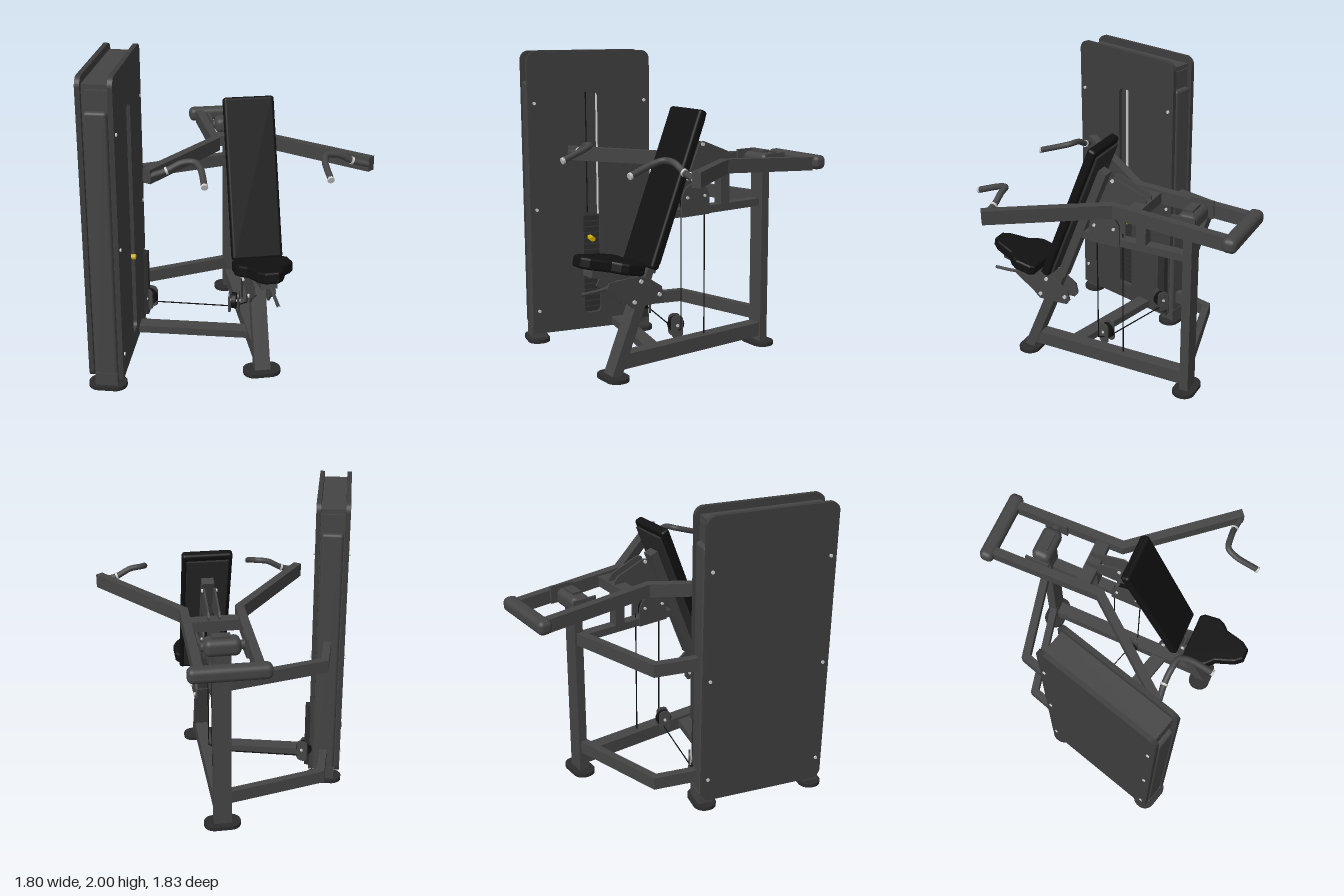
import * as THREE from 'three';
import { RoundedBoxGeometry } from 'three/addons/geometries/RoundedBoxGeometry.js';

const mat = (color) => new THREE.MeshStandardMaterial({ color, roughness: 0.7 });
const steel = mat(0x444444), panelMat = mat(0x3c3c3c), dark = mat(0x2c2c2c);
const black = mat(0x111111), silver = mat(0xcccccc), yellow = mat(0xccaa00);
const MID = 0.185; // centre line of the seat and frame

const V = (x, y, z) => new THREE.Vector3(x, y, z);

function add(parent, name, geo, material, x = 0, y = 0, z = 0) {
  const m = new THREE.Mesh(geo, material);
  m.name = name;
  m.position.set(x, y, z);
  parent.add(m);
  return m;
}
const box = (p, name, w, h, d, x, y, z, m = steel) => add(p, name, new THREE.BoxGeometry(w, h, d), m, x, y, z);
const rbox = (p, name, w, h, d, r, x, y, z, m = steel) => add(p, name, new RoundedBoxGeometry(w, h, d, 4, r), m, x, y, z);

// Cylinder lying along x
function rod(p, name, r, len, x, y, z, m = steel) {
  const c = add(p, name, new THREE.CylinderGeometry(r, r, len, 20), m, x, y, z);
  c.rotation.z = Math.PI / 2;
  return c;
}

// Straight square tube between two points
function beam(p, name, a, b, w, h, m = steel) {
  const o = box(p, name, w, h, a.distanceTo(b), 0, 0, 0, m);
  o.position.copy(a).lerp(b, 0.5);
  o.lookAt(b);
  return o;
}

// Mitred rectangular tube along a roughly level path
function rail(p, name, pts, w, h, m = steel) {
  const pos = [], idx = [], n = pts.length;
  const side = (i) => {
    const d = pts[i + 1].clone().sub(pts[i]).setY(0).normalize();
    return V(-d.z, 0, d.x);
  };
  pts.forEach((q, i) => {
    const s0 = side(Math.max(0, i - 1)), s1 = side(Math.min(n - 2, i));
    const s = s0.clone().add(s1).normalize();
    s.multiplyScalar(w / 2 / s.dot(s1));
    for (const [a, b] of [[1, -1], [1, 1], [-1, 1], [-1, -1]])
      pos.push(q.x + s.x * a, q.y + b * h / 2, q.z + s.z * a);
    if (i < n - 1) for (let k = 0; k < 4; k++) {
      const a = i * 4 + k, b = i * 4 + (k + 1) % 4;
      idx.push(a, b, a + 4, b, b + 4, a + 4);
    }
  });
  const e = (n - 1) * 4;
  idx.push(0, 2, 1, 0, 3, 2, e, e + 1, e + 2, e, e + 2, e + 3);
  let g = new THREE.BufferGeometry();
  g.setAttribute('position', new THREE.Float32BufferAttribute(pos, 3));
  g.setIndex(idx);
  g = g.toNonIndexed();
  g.computeVertexNormals();
  const o = add(p, name, g, m);
  o.material = m.clone();
  o.material.side = THREE.DoubleSide;
  return o;
}

function roundRect(w, h, r, cx = 0, cy = 0, S = THREE.Shape) {
  const s = new S(), x = w / 2 - r, y = h / 2 - r;
  s.absarc(cx + x, cy + y, r, 0, Math.PI / 2);
  s.absarc(cx - x, cy + y, r, Math.PI / 2, Math.PI);
  s.absarc(cx - x, cy - y, r, Math.PI, Math.PI * 1.5);
  s.absarc(cx + x, cy - y, r, Math.PI * 1.5, Math.PI * 2);
  s.closePath();
  return s;
}
const outline = (pts) => new THREE.Shape(pts.map(([a, b]) => new THREE.Vector2(a, b)));

// Plate drawn in (z, y), with thickness along x
function sidePlate(p, name, shape, t, x, m = steel) {
  const g = new THREE.ExtrudeGeometry(shape, { depth: t, bevelEnabled: false, curveSegments: 10 });
  g.rotateY(-Math.PI / 2).translate(t / 2, 0, 0);
  return add(p, name, g, m, x);
}

// Oval floor plate
function foot(p, x, z) {
  const g = new THREE.ExtrudeGeometry(roundRect(0.24, 0.15, 0.07), { depth: 0.025, bevelEnabled: false });
  add(p, 'foot', g.rotateX(-Math.PI / 2), dark, x, 0, z);
}

function pulley(p, x, y, z, turn) {
  const g = new THREE.Group();
  g.name = 'pulley';
  g.position.set(x, y, z);
  g.rotation.y = turn;
  rod(g, 'wheel', 0.055, 0.03, 0, 0.01, 0, black);
  for (const s of [-1, 1]) sidePlate(g, 'pulleyCheek', roundRect(0.08, 0.15, 0.03), 0.012, s * 0.03);
  rod(g, 'axle', 0.01, 0.085, 0, 0.01, 0, silver);
  p.add(g);
}

function cabinet() {
  const c = new THREE.Group();
  c.name = 'weightCabinet';
  c.position.set(-0.695, 0, 0.29);
  c.rotation.y = -Math.PI / 12;
  // side panels, the inner one slotted and notched at its lower rear
  const outer = roundRect(0.85, 1.93, 0.06, 0, 1.035);
  const inner = outline([[-0.39, 0.07], [0.425, 0.07]]);
  inner.absarc(0.365, 1.94, 0.06, 0, Math.PI / 2);
  inner.absarc(-0.365, 1.94, 0.06, Math.PI / 2, Math.PI);
  inner.lineTo(-0.425, 0.58);
  inner.lineTo(-0.39, 0.58);
  inner.holes.push(roundRect(0.12, 1.55, 0.04, 0, 0.955, THREE.Path));
  sidePlate(c, 'outerPanel', outer, 0.03, -0.0925, panelMat);
  sidePlate(c, 'innerPanel', inner, 0.03, 0.0925, panelMat);
  for (const s of [-1, 1]) {
    box(c, 'endColumn', 0.155, 1.84, 0.03, 0, 1.0, s * 0.38);
    rbox(c, 'endCover', 0.14, 1.72, 0.05, 0.02, 0, 0.94, s * 0.4);
    box(c, 'cabinetLeg', 0.14, 0.1, 0.1, 0, 0.06, s * 0.38);
    foot(c, 0, s * 0.38);
    for (const y of [0.23, 0.94, 1.66]) for (const f of [-1, 1])
      rod(c, 'panelBolt', 0.011, 0.012, f * 0.11, y, s * 0.385, silver);
  }
  box(c, 'topCover', 0.155, 0.03, 0.79, 0, 1.94, 0);
  box(c, 'cabinetBase', 0.12, 0.08, 0.76, 0, 0.11, 0);
  box(c, 'rearShroud', 0.035, 0.46, 0.06, 0.12, 0.34, -0.37, dark);
  // weight stack on two guide rods
  for (let i = 0; i < 17; i++) box(c, 'weightPlate', 0.1, 0.034, 0.22, 0, 0.19 + i * 0.041, 0, dark);
  for (const s of [-1, 1])
    add(c, 'guideRod', new THREE.CylinderGeometry(0.01, 0.01, 1.78, 12), silver, 0, 1.04, s * 0.08);
  add(c, 'stackCable', new THREE.CylinderGeometry(0.004, 0.004, 1.05, 8), black, 0, 1.4, 0);
  rod(c, 'selectorPin', 0.018, 0.08, 0.085, 0.71, 0, yellow);
  return c;
}

function frame(g) {
  foot(g, MID, 0.66);
  foot(g, MID, -0.535);
  box(g, 'rearPost', 0.115, 1.33, 0.06, MID, 0.685, -0.537);
  box(g, 'baseBeam', 0.09, 0.095, 1.14, MID, 0.108, 0.06);
  beam(g, 'seatPost', V(MID, 0.02, 0.665), V(MID, 0.52, 0.455), 0.1, 0.07);
  beam(g, 'seatPostInner', V(MID, 0.45, 0.48), V(MID, 0.66, 0.395), 0.07, 0.05);
  box(g, 'midBeam', 0.07, 0.05, 0.74, MID, 1.0, -0.13);
  // ties to the cabinet
  rail(g, 'frontTie', [V(-0.59, 0.11, 0.13), V(MID, 0.11, 0.335)], 0.1, 0.05);
  for (const y of [0.21, 1.022])
    rail(g, 'rearTie', [V(0.14, y, -0.53), V(-0.5, y, -0.38), V(-0.58, y, -0.11)], 0.05, 0.085);
  // support behind the backrest
  box(g, 'backStrut', 0.07, 0.3, 0.07, MID, 1.14, -0.205);
  const bracket = outline([[0.09, 1.26], [0.01, 1.44], [-0.02, 1.45], [-0.22, 1.37], [-0.245, 1.34], [-0.24, 1.26]]);
  for (const s of [-1, 1]) {
    sidePlate(g, 'backBracket', bracket, 0.012, MID + s * 0.035);
    const arch = outline([[0.16, 0.975], [0.16, 1.09]]);
    arch.absarc(0.05, 1.08, 0.11, 0, Math.PI);
    arch.lineTo(-0.06, 0.975);
    sidePlate(g, 'pulleyCover', arch, 0.012, MID + s * 0.045);
    rod(g, 'bracketBolt', 0.012, 0.012, MID + s * 0.045, 1.43, -0.01, silver);
    for (const z of [0.12, -0.02]) rod(g, 'coverBolt', 0.01, 0.012, MID + s * 0.055, 1.1, z, silver);
  }
  rod(g, 'upperPulley', 0.08, 0.035, MID, 1.07, 0.05, black);
  // cable run
  pulley(g, 0.1, 0.22, 0.11, -0.3);
  pulley(g, -0.46, 0.22, -0.04, 0.9);
  const path = [V(-0.46, 0.18, -0.06), V(0.1, 0.18, 0.1), V(MID, 0.22, 0.13), V(MID, 1.05, 0.13)];
  for (const [a, b] of [[0, 1], [1, 2], [2, 3]]) beam(g, 'cable', path[a], path[b], 0.006, 0.006, black);
  beam(g, 'cable', V(MID, 0.15, -0.06), V(MID, 1.05, -0.06), 0.006, 0.006, black);
}

function seating(g) {
  const back = new THREE.Group();
  back.name = 'backrest';
  back.position.set(MID, 1.18, 0.26);
  back.rotation.x = -0.38;
  rbox(back, 'backPad', 0.325, 1.03, 0.062, 0.02, 0, 0, 0, black);
  box(back, 'backBoard', 0.27, 0.95, 0.016, 0, 0, -0.038, dark);
  box(back, 'backSpine', 0.08, 0.88, 0.06, 0, -0.1, -0.074);
  g.add(back);

  const seat = new THREE.Group();
  seat.name = 'seat';
  seat.position.set(MID, 0.675, 0.535);
  seat.rotation.x = -0.215;
  const half = [[0.15, -0.01], [0.165, -0.03], [0.168, -0.13], [0.15, -0.165], [0.105, -0.21], [0.085, -0.28], [0.065, -0.34], [0.035, -0.378]];
  const shape = outline([...half, ...half.map(([x, y]) => [-x, y]).reverse()]);
  const pad = new THREE.ExtrudeGeometry(shape, { depth: 0.04, bevelSize: 0.014, bevelThickness: 0.016, bevelSegments: 4 });
  add(seat, 'seatPad', pad.rotateX(-Math.PI / 2), black, 0, 0.016, 0);
  box(seat, 'seatCarrier', 0.1, 0.05, 0.32, 0, -0.027, 0.14);
  g.add(seat);

  // height adjuster cheeks, bolts and release lever
  const cheek = outline([[0.74, 0.6], [0.72, 0.64], [0.5, 0.65], [0.42, 0.62], [0.33, 0.56], [0.315, 0.49], [0.34, 0.455], [0.55, 0.45], [0.6, 0.5]]);
  for (const s of [-1, 1]) {
    sidePlate(g, 'seatCheek', cheek, 0.012, MID + s * 0.058);
    for (const [z, y] of [[0.49, 0.615], [0.35, 0.51], [0.54, 0.49]])
      rod(g, 'seatBolt', 0.013, 0.014, MID + s * 0.068, y, z, silver);
  }
  const lever = new THREE.CatmullRomCurve3([V(0.22, 0.64, 0.62), V(0.23, 0.605, 0.74), V(0.23, 0.595, 0.91)]);
  add(g, 'seatLever', new THREE.TubeGeometry(lever, 16, 0.011, 10), steel);
}

function pressArms(g) {
  const c = 0.18;
  rbox(g, 'rearCrossbar', 0.5, 0.095, 0.095, 0.035, c, 1.258, -0.87);
  box(g, 'armCrossbar', 0.32, 0.07, 0.09, c, 1.285, -0.21);
  rod(g, 'pivotShaft', 0.03, 0.3, c, 1.28, -0.54);
  rbox(g, 'pivotHousing', 0.23, 0.11, 0.13, 0.04, c, 1.28, -0.54);
  for (const s of [-1, 1]) {
    const X = (d) => c + s * d;
    rail(g, 'pressArm', [V(X(0.18), 1.25, -0.83), V(X(0.18), 1.3, -0.08), V(X(0.69), 1.34, 0.54)], 0.055, 0.09);
    box(g, 'pivotFlange', 0.015, 0.12, 0.16, X(0.145), 1.28, -0.54);
    const grip = new THREE.CatmullRomCurve3([
      V(X(0.67), 1.34, 0.54), V(X(0.57), 1.365, 0.53), V(X(0.48), 1.41, 0.535),
      V(X(0.405), 1.417, 0.55), V(X(0.378), 1.4, 0.61), V(X(0.375), 1.345, 0.765)]);
    add(g, 'handle', new THREE.TubeGeometry(grip, 40, 0.02, 12), steel);
    const cap = add(g, 'handleCap', new THREE.CylinderGeometry(0.021, 0.021, 0.016, 16), silver, X(0.375), 1.343, 0.768);
    cap.rotation.x = Math.PI / 2 + 0.33;
    const ring = add(g, 'handleCollar', new THREE.CylinderGeometry(0.024, 0.024, 0.014, 16), silver, X(0.57), 1.365, 0.53);
    ring.rotation.z = Math.PI / 2 - s * 0.35;
  }
}

export function createModel() {
  const g = new THREE.Group();
  g.name = 'shoulderPressMachine';
  g.add(cabinet());
  frame(g);
  seating(g);
  pressArms(g);
  return g;
}
